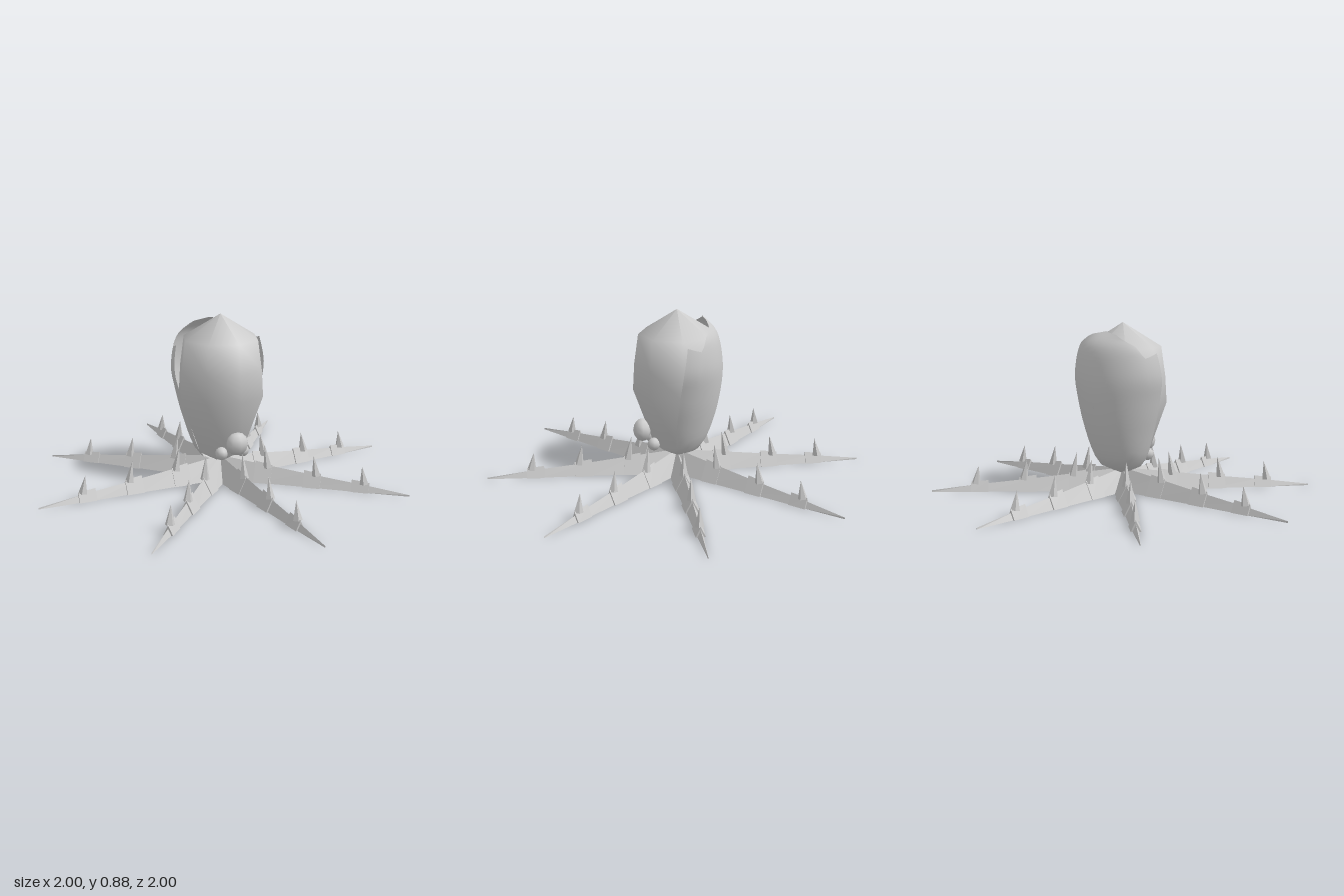
import * as THREE from 'three';

const smooth = new THREE.MeshStandardMaterial({ color: 0xcccccc });
const flat = new THREE.MeshStandardMaterial({ color: 0xcccccc, flatShading: true });
const thin = new THREE.MeshStandardMaterial({ color: 0xcccccc, side: THREE.DoubleSide });

function add(parent, name, geometry, material, x = 0, y = 0, z = 0) {
  const mesh = new THREE.Mesh(geometry, material);
  mesh.name = name;
  mesh.position.set(x, y, z);
  parent.add(mesh);
  return mesh;
}

// Piecewise linear lookup in a list of [key, value] pairs
function lookup(table, k) {
  for (let i = 1; i < table.length; i++) {
    const [k0, v0] = table[i - 1], [k1, v1] = table[i];
    if (k <= k1) return v0 + (v1 - v0) * Math.max(0, (k - k0) / (k1 - k0));
  }
  return table[table.length - 1][1];
}

// Triangular prism along +x, lofted through stations [x, half width, height]
function ridgePrism(stations) {
  const pos = [];
  const rings = stations.map(([x, w, h]) => [[x, 0, w], [x, h, 0], [x, 0, -w]]);
  const tri = (...pts) => pts.forEach((p) => pos.push(...p));
  for (let i = 0; i + 1 < rings.length; i++) {
    const a = rings[i], b = rings[i + 1];
    for (let j = 0; j < 3; j++) {
      const k = (j + 1) % 3;
      tri(a[j], b[j], b[k]);
      tri(a[j], b[k], a[k]);
    }
  }
  const s = rings[0], e = rings[rings.length - 1];
  tri(s[0], s[1], s[2]);
  tri(e[0], e[2], e[1]);
  const g = new THREE.BufferGeometry();
  g.setAttribute('position', new THREE.Float32BufferAttribute(pos, 3));
  g.computeVertexNormals();
  return g;
}

// Open shell wrapped round the back of the body, with a notched rim
function shellGeometry() {
  const curve = (pts) => new THREE.SplineCurve(pts.map(([r, y]) => new THREE.Vector2(r, y)));
  const sample = (pts) => curve(pts).getPoints(60).map((p) => [p.y, p.x]);
  const back = sample([[0.02, 0.09], [0.13, 0.15], [0.2, 0.32], [0.235, 0.52], [0.23, 0.66], [0.2, 0.77], [0.13, 0.84]]);
  const side = sample([[0.02, 0.09], [0.125, 0.15], [0.2, 0.35], [0.24, 0.5], [0.26, 0.61], [0.242, 0.735], [0.21, 0.8]]);
  const rim = [[0, 0.84], [30, 0.825], [60, 0.77], [69, 0.71], [88, 0.735]];
  const cols = 48, rows = 24, pos = [], idx = [];
  for (let i = 0; i <= cols; i++) {
    const u = (i / cols) * 2 - 1;
    const deg = Math.abs(u) * 88;
    const top = lookup(rim, deg);
    for (let j = 0; j <= rows; j++) {
      const y = 0.09 + (top - 0.09) * Math.sin((j / rows) * Math.PI / 2);
      const blend = Math.sin(deg * Math.PI / 180) ** 2;
      const r = lookup(back, y) * (1 - blend) + lookup(side, y) * blend;
      const reach = lookup([[0.09, 100], [0.3, 98], [0.6, 90], [0.74, 85]], y);
      const a = u * reach * Math.PI / 180;
      pos.push(Math.sin(a) * r, y, -Math.cos(a) * r);
      if (i < cols && j < rows) {
        const p = i * (rows + 1) + j, q = p + rows + 1;
        idx.push(p, p + 1, q, q, p + 1, q + 1);
      }
    }
  }
  const g = new THREE.BufferGeometry();
  g.setAttribute('position', new THREE.Float32BufferAttribute(pos, 3));
  g.setIndex(idx);
  g.computeVertexNormals();
  return g;
}

// One arm along +x: tapered core, raised bands and a thorn on each band
function makeArm() {
  const arm = new THREE.Group();
  add(arm, 'armCore', ridgePrism([[0, 0.055, 0.115], [0.23, 0.045, 0.09], [0.46, 0.031, 0.065],
    [0.72, 0.02, 0.04], [0.78, 0.016, 0.034], [1, 0.001, 0.008]]), flat);
  const bands = [[0.24, 0.052, 0.105, 0.2], [0.5, 0.04, 0.082, 0.165], [0.75, 0.027, 0.058, 0.135]];
  for (const [x, w, h, tip] of bands) {
    add(arm, 'armBand', ridgePrism([[x - 0.045, w, h], [x + 0.045, w * 0.88, h * 0.86]]), flat);
    const base = h * 0.7, len = tip - base;
    const thorn = add(arm, 'thorn', new THREE.ConeGeometry(0.024, len, 5), flat, x + 0.012, base + len / 2, 0);
    thorn.rotation.z = 0.16;
  }
  return arm;
}

export function createModel() {
  const model = new THREE.Group();

  // Faceted egg-shaped body
  const profile = [[0, 0.08], [0.12, 0.15], [0.23, 0.46], [0.222, 0.6], [0.2, 0.755], [0, 0.88]];
  add(model, 'body', new THREE.LatheGeometry(profile.map(([r, y]) => new THREE.Vector2(r, y)), 8), smooth);
  add(model, 'backShell', shellGeometry(), thin);

  // Cluster of knobs low on the front
  const ball = new THREE.SphereGeometry(1, 8, 6);
  add(model, 'largeKnob', ball, smooth, 0, 0.235, 0.185).scale.set(0.062, 0.06, 0.048);
  for (const s of [-1, 1]) add(model, 'smallKnob', ball, smooth, s * 0.062, 0.175, 0.13).scale.setScalar(0.034);

  // Eight arms spread evenly around the base
  for (let i = 0; i < 8; i++) {
    const arm = makeArm();
    arm.name = 'arm';
    arm.rotation.y = i * Math.PI / 4;
    model.add(arm);
  }
  return model;
}
